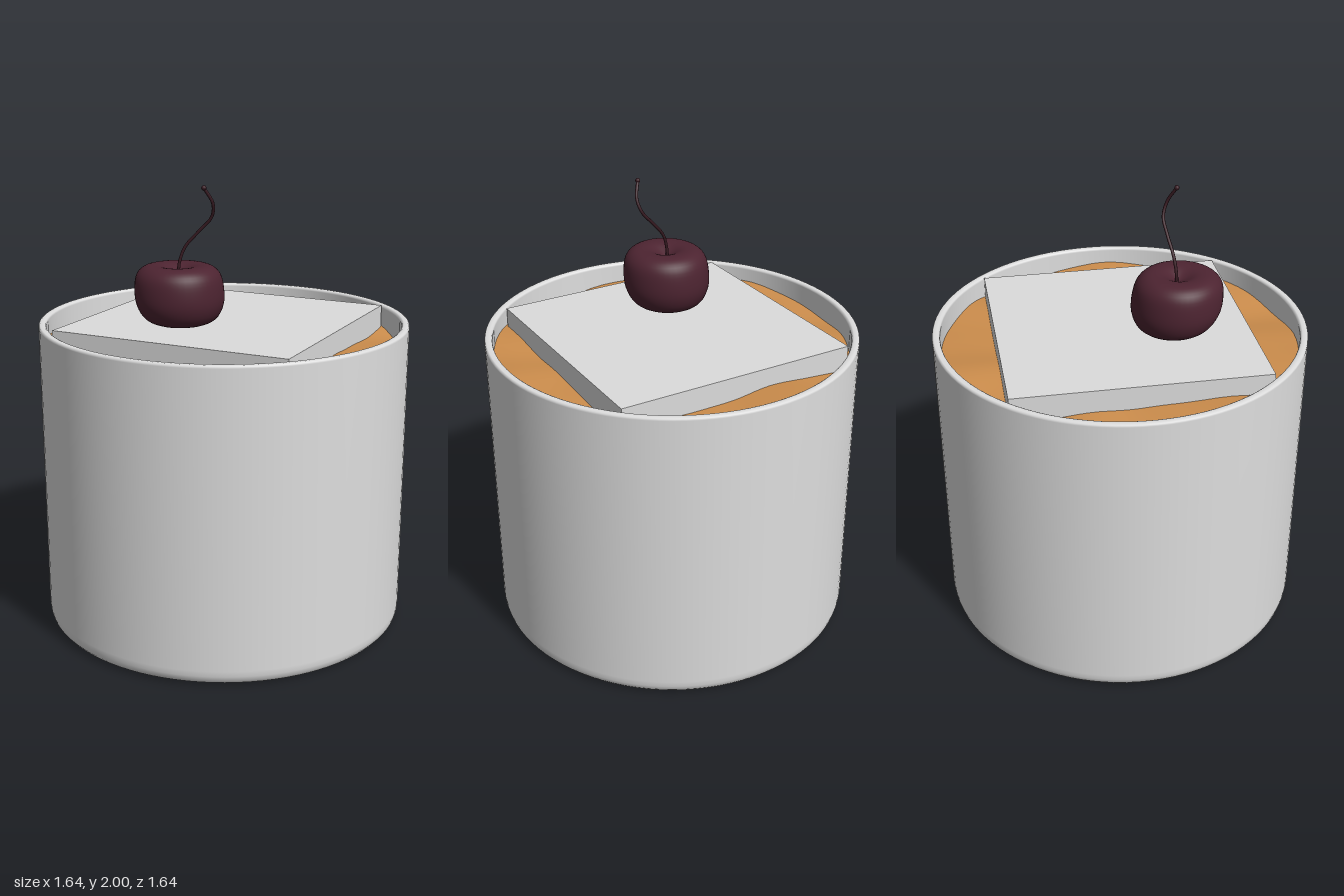
import * as THREE from 'three';

const mat = (name, color, extra = {}) => {
  const m = new THREE.MeshStandardMaterial({ color, ...extra });
  m.name = name;
  return m;
};
const v2 = (pts) => pts.map(([x, y]) => new THREE.Vector2(x, y));

export function createModel() {
  const group = new THREE.Group();
  const glass = mat('pale glass', 0xdedede);
  const ice = mat('pale ice', 0xdcdcdc);
  const drink = mat('amber drink', 0xcc8d4c, { side: THREE.DoubleSide });
  const cherryRed = mat('dark cherry', 0x4d2431);
  const stemBrown = mat('stem brown', 0x3a1c24);

  const add = (name, geometry, material) => {
    const mesh = new THREE.Mesh(geometry, material);
    mesh.name = name;
    group.add(mesh);
    return mesh;
  };

  // Tumbler: outer wall, rounded foot and lip, inner wall and floor
  const profile = [[0, 0], [0.77, 0], [0.785, 0.002], [0.803, 0.01], [0.815, 0.025], [0.82, 0.045],
    [0.822, 0.07], [0.822, 1.37], [0.82, 1.378], [0.814, 1.382], [0.797, 1.382], [0.79, 1.378],
    [0.787, 1.37], [0.787, 0.14], [0.77, 0.1], [0.72, 0.08], [0, 0.08]];
  add('tumbler', new THREE.LatheGeometry(v2(profile), 96), glass);

  // Drink: a gently rippled disc just below the lip
  const surface = new THREE.RingGeometry(0.001, 0.787, 96, 16);
  surface.rotateX(-Math.PI / 2);
  const p = surface.attributes.position;
  for (let i = 0; i < p.count; i++) {
    const x = p.getX(i), z = p.getZ(i);
    const a = Math.atan2(z, x), r = Math.hypot(x, z) / 0.787;
    const wave = 0.012 * Math.sin(3 * a + 0.6) + 0.008 * Math.sin(7 * a + 2) + 0.004 * Math.sin(13 * a);
    p.setY(i, 1.285 + wave * r * r + 0.006 * Math.sin(9 * x + 5 * z));
  }
  surface.computeVertexNormals();
  add('drinkSurface', surface, drink);

  // Large ice cube, its top level with the lip
  add('iceCube', new THREE.BoxGeometry(1.1, 1.1, 1.1), ice).position.y = 0.836;

  // Cherry: squat lathe with a dimple, leaning slightly
  const cherryCurve = new THREE.SplineCurve(v2([[0, 1.388], [0.09, 1.392], [0.155, 1.42], [0.188, 1.48],
    [0.193, 1.55], [0.18, 1.615], [0.14, 1.65], [0.08, 1.652], [0.03, 1.63], [0, 1.615]]));
  const body = new THREE.LatheGeometry(cherryCurve.getPoints(36).map((q) => q.setX(Math.max(q.x, 0))), 48);
  const c = body.attributes.position;
  for (let i = 0; i < c.count; i++) {
    const x = c.getX(i), z = c.getZ(i);
    const bulge = z > 0 ? 0.008 * Math.pow(z / 0.193, 4) : 0;
    c.setXYZ(i, x - 0.103, c.getY(i), z + bulge + 0.225 + (c.getY(i) - 1.52) * 0.1);
  }
  add('cherry', body, cherryRed);

  // Curved stem with a small knob at the tip
  const path = new THREE.CatmullRomCurve3([[-0.108, 1.6, 0.226], [-0.104, 1.66, 0.224], [-0.08, 1.73, 0.215],
    [-0.02, 1.8, 0.2], [0.035, 1.86, 0.193], [0.052, 1.92, 0.212], [0.027, 1.99, 0.247]]
    .map((q) => new THREE.Vector3(...q)));
  add('cherryStem', new THREE.TubeGeometry(path, 48, 0.007, 8), stemBrown);
  const tip = add('stemTip', new THREE.SphereGeometry(0.011, 12, 8), stemBrown);
  tip.position.set(0.027, 1.989, 0.247);

  return group;
}
